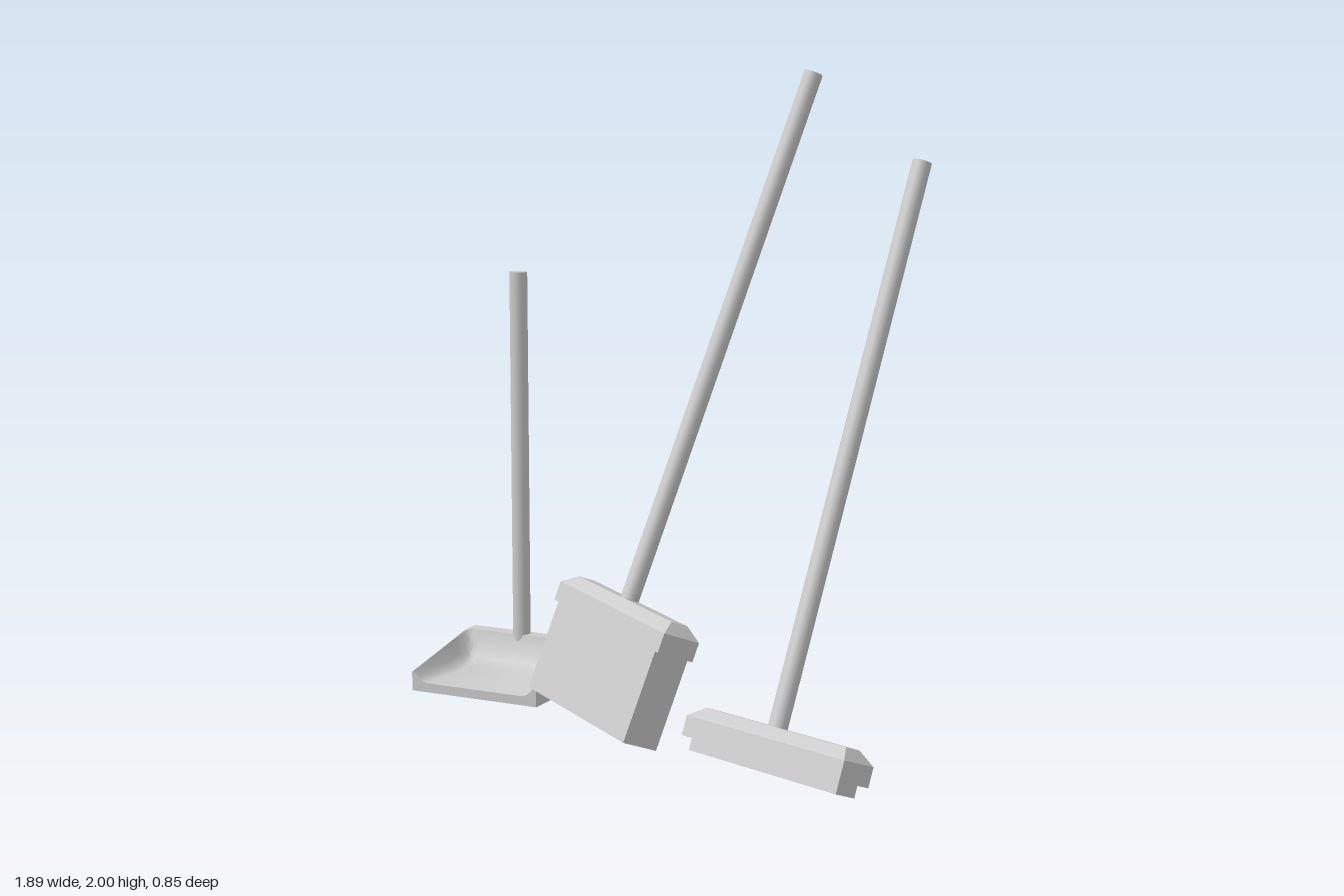
import * as THREE from 'three';
import { toCreasedNormals } from 'three/addons/utils/BufferGeometryUtils.js';

const material = new THREE.MeshStandardMaterial({ color: 0xcccccc });

function part(name, geometry, parent) {
  const mesh = new THREE.Mesh(geometry, material);
  mesh.name = name;
  parent.add(mesh);
  return mesh;
}

// Solid through counter-clockwise xy sections stacked along +z
function loft(sections, crease) {
  const positions = [];
  const put = (s, i) => positions.push(s.points[i][0], s.points[i][1], s.z);
  const n = sections[0].points.length;
  for (let k = 0; k + 1 < sections.length; k++) {
    const a = sections[k], b = sections[k + 1];
    for (let i = 0; i < n; i++) {
      const j = (i + 1) % n;
      put(a, i); put(a, j); put(b, j);
      put(a, i); put(b, j); put(b, i);
    }
  }
  const cap = (s, flip) => {
    const contour = s.points.map(([x, y]) => new THREE.Vector2(x, y));
    for (const [i, j, k] of THREE.ShapeUtils.triangulateShape(contour, [])) {
      put(s, i); put(s, flip ? k : j); put(s, flip ? j : k);
    }
  };
  cap(sections[0], true);
  cap(sections[sections.length - 1], false);
  const geometry = new THREE.BufferGeometry();
  geometry.setAttribute('position', new THREE.Float32BufferAttribute(positions, 3));
  return toCreasedNormals(geometry, crease);
}

const rectangle = (w, d) => [[-w, -d], [w, -d], [w, d], [-w, d]];

// Pole standing on y = base
function addHandle(parent, base, length) {
  const sunk = 0.03;
  const geometry = new THREE.CylinderGeometry(0.029, 0.029, length + sunk, 20);
  return part('handle', geometry.translate(0, base + (length - sunk) / 2, 0), parent);
}

// Pole with a bevelled head and a block below it; origin at the middle of the head's top
function makeSweeper(name, blockName, halfWidth, halfDepth, blockHeight) {
  const group = new THREE.Group();
  group.name = name;
  const height = 0.095, bevel = 0.035, offset = 0.012;
  const head = loft([
    { z: -height, points: rectangle(0.31, 0.065) },
    { z: -bevel, points: rectangle(0.31, 0.065) },
    { z: 0, points: rectangle(0.31 - bevel, 0.065 - bevel) },
  ], 0.4);
  part('head', head.rotateX(-Math.PI / 2).translate(offset, 0, 0), group);

  const block = new THREE.BoxGeometry(halfWidth * 2, blockHeight + 0.01, halfDepth * 2);
  part(blockName, block.translate(offset, -height + 0.005 - blockHeight / 2, 0), group);
  addHandle(group, 0, 1.7);
  return group;
}

function makeDustpan() {
  const group = new THREE.Group();
  group.name = 'dustpan';
  const W = 0.23, back = -0.17, front = 0.17, wallEnd = -0.122;

  // One section: outer side, rim and rounded hollow, mirrored
  const section = (z, floor) => {
    const side = THREE.MathUtils.mapLinear(z, back, front, 0.11, 0.063);
    const t = Math.max(0, (z - wallEnd) / (front - wallEnd));
    const rim = THREE.MathUtils.lerp(0.145, 0.066, t);
    const inset = THREE.MathUtils.lerp(0.035, 0.006, t);
    const bottom = Math.min(floor, rim);
    const half = [
      [W, 0], [W, side], [W - inset, rim],
      [W - inset - 0.018, bottom + (rim - bottom) * 0.4],
      [W - inset - 0.034, bottom + (rim - bottom) * 0.1],
      [W - inset - 0.052, bottom],
    ];
    return { z, points: [...half, ...half.map(([x, y]) => [-x, y]).reverse()] };
  };
  const pan = loft([
    section(back, 0.145), section(wallEnd, 0.145), section(-0.108, 0.095),
    section(-0.085, 0.06), section(-0.05, 0.041), section(0, 0.033), section(front, 0.03),
  ], 0.7);
  part('pan', pan, group);
  const handle = addHandle(group, 0.145, 1.2);
  handle.position.set(0, 0, -0.145);
  return group;
}

export function createModel() {
  const model = new THREE.Group();
  model.name = 'cleaningTools';

  // Dustpan standing flat, turned a little
  const dustpan = makeDustpan();
  dustpan.position.set(-0.673, 0, 0.157);
  dustpan.rotation.y = THREE.MathUtils.degToRad(20);
  model.add(dustpan);

  // Broom leaning back and sideways
  const broom = makeSweeper('broom', 'bristles', 0.29, 0.061, 0.284);
  const up = new THREE.Vector3(0.126, 0.933, -0.337).normalize();
  const depth = new THREE.Vector3(0.978, -0.055, 0.207).cross(up).normalize();
  const across = new THREE.Vector3().crossVectors(up, depth);
  broom.quaternion.setFromRotationMatrix(new THREE.Matrix4().makeBasis(across, up, depth));
  broom.position.set(-0.031, 0.402, 0.175);
  model.add(broom);

  // Squeegee leaning straight back
  const squeegee = makeSweeper('squeegee', 'blade', 0.29, 0.041, 0.037);
  squeegee.rotation.x = THREE.MathUtils.degToRad(-20.6);
  squeegee.position.set(0.623, 0.143, 0.204);
  model.add(squeegee);

  return model;
}
